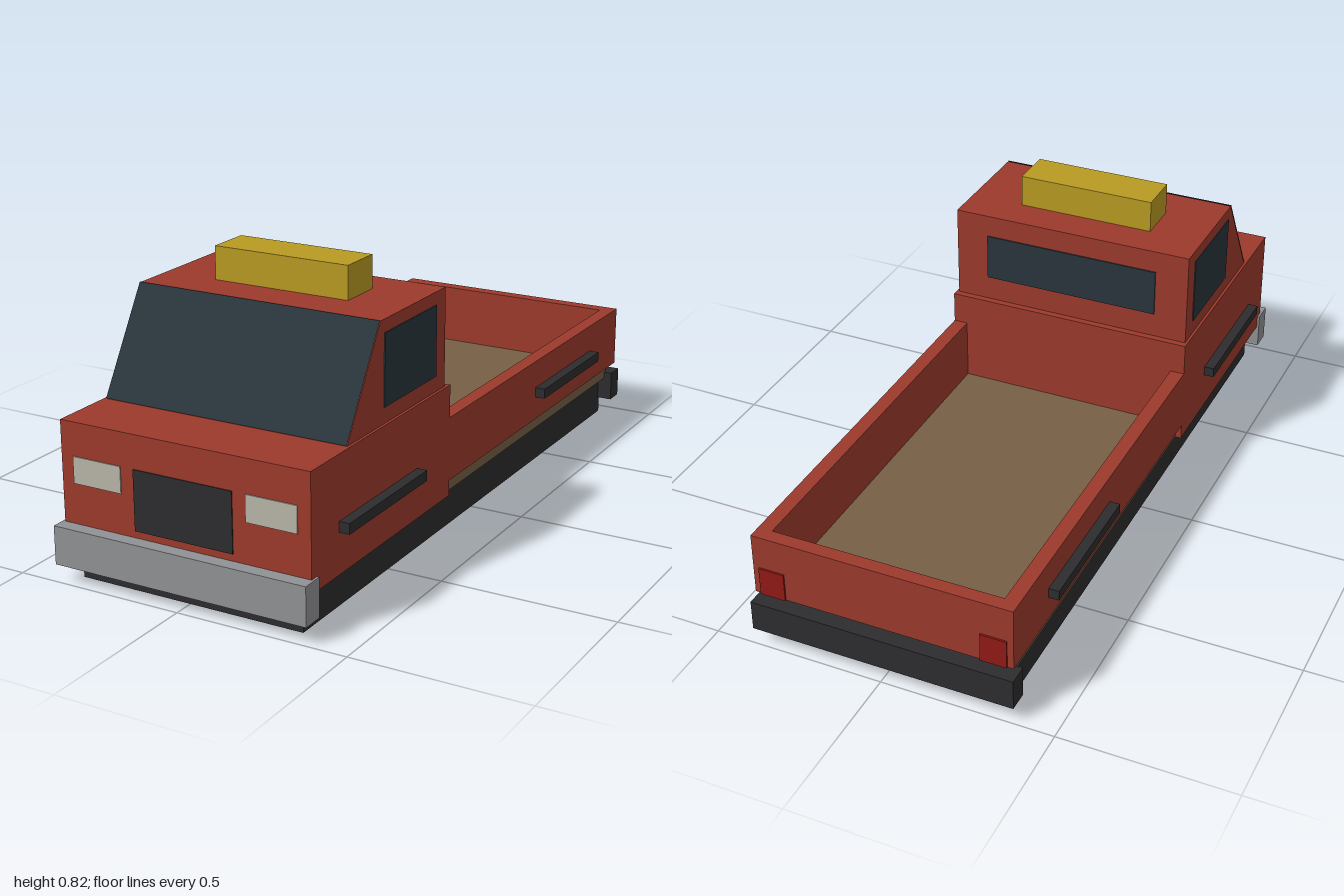
import * as THREE from 'three';

const mat = (color) => new THREE.MeshStandardMaterial({ color, flatShading: true });
const RED = mat(0x9c392c), DARK = mat(0x2d2c2e), GLASS = mat(0x29353c), TAN = mat(0x766045),
  GREY = mat(0x909194), LAMP = mat(0xb8b5a8), YELLOW = mat(0xb89a22), TAIL = mat(0x8f1a16);

export function createModel() {
  const truck = new THREE.Group();
  truck.name = 'pickupTruck';

  // Box given by its limits on each axis
  const box = (name, material, [x0, x1], [y0, y1], [z0, z1]) => {
    const mesh = new THREE.Mesh(new THREE.BoxGeometry(x1 - x0, y1 - y0, z1 - z0), material);
    mesh.position.set((x0 + x1) / 2, (y0 + y1) / 2, (z0 + z1) / 2);
    mesh.name = name;
    truck.add(mesh);
  };
  // The same box on both sides of the truck
  const pair = (name, material, [x0, x1], y, z) => {
    box(name + 'Left', material, [x0, x1], y, z);
    box(name + 'Right', material, [-x1, -x0], y, z);
  };

  // Chassis and bumpers
  box('chassis', DARK, [-0.34, 0.34], [0, 0.12], [-0.95, 0.94]);
  box('frontBumper', GREY, [-0.385, 0.385], [0.05, 0.16], [0.935, 1]);
  box('rearBumper', DARK, [-0.385, 0.385], [0.05, 0.14], [-1, -0.94]);

  // Lower front body
  box('frontBody', RED, [-0.378, 0.378], [0.12, 0.445], [0.22, 0.96]);

  // Cab with sloping front, extruded across the width
  const profile = new THREE.Shape([[-0.77, 0.445], [-0.24, 0.445], [-0.24, 0.726], [-0.6, 0.726]]
    .map(([z, y]) => new THREE.Vector2(z, y)));
  const cabGeometry = new THREE.ExtrudeGeometry(profile, { depth: 0.74, bevelEnabled: false });
  cabGeometry.translate(0, 0, -0.37).rotateY(Math.PI / 2);
  const cab = new THREE.Mesh(cabGeometry, RED);
  cab.name = 'cab';
  truck.add(cab);

  // Windscreen laid on the slope
  const rise = 0.281, run = 0.17;
  const windscreen = new THREE.Mesh(new THREE.PlaneGeometry(0.74, Math.hypot(rise, run)), GLASS);
  windscreen.material.side = THREE.DoubleSide;
  windscreen.rotation.x = -Math.atan2(run, rise);
  windscreen.position.set(0, 0.5875, 0.688);
  windscreen.name = 'windscreen';
  truck.add(windscreen);

  // Side and rear windows, roof light
  pair('sideWindow', GLASS, [0.36, 0.373], [0.49, 0.69], [0.295, 0.58]);
  box('rearWindow', GLASS, [-0.27, 0.27], [0.52, 0.66], [0.236, 0.25]);
  box('roofLight', YELLOW, [-0.207, 0.207], [0.726, 0.821], [0.35, 0.48]);

  // Load bed: floor, sides and tailgate
  box('bedFloor', TAN, [-0.36, 0.36], [0.12, 0.165], [-0.95, 0.22]);
  pair('bedSide', RED, [0.336, 0.378], [0.165, 0.35], [-0.98, 0.22]);
  box('tailgate', RED, [-0.336, 0.336], [0.165, 0.35], [-0.98, -0.94]);

  // Grille and lamps
  box('grille', DARK, [-0.15, 0.15], [0.18, 0.35], [0.95, 0.963]);
  pair('headlight', LAMP, [0.19, 0.34], [0.275, 0.35], [0.95, 0.963]);
  pair('tailLight', TAIL, [0.285, 0.36], [0.165, 0.25], [-0.985, -0.97]);

  // Side rub strips
  pair('frontRubStrip', DARK, [0.37, 0.408], [0.236, 0.266], [0.41, 0.825]);
  pair('rearRubStrip', DARK, [0.37, 0.408], [0.236, 0.266], [-0.765, -0.35]);

  return truck;
}
